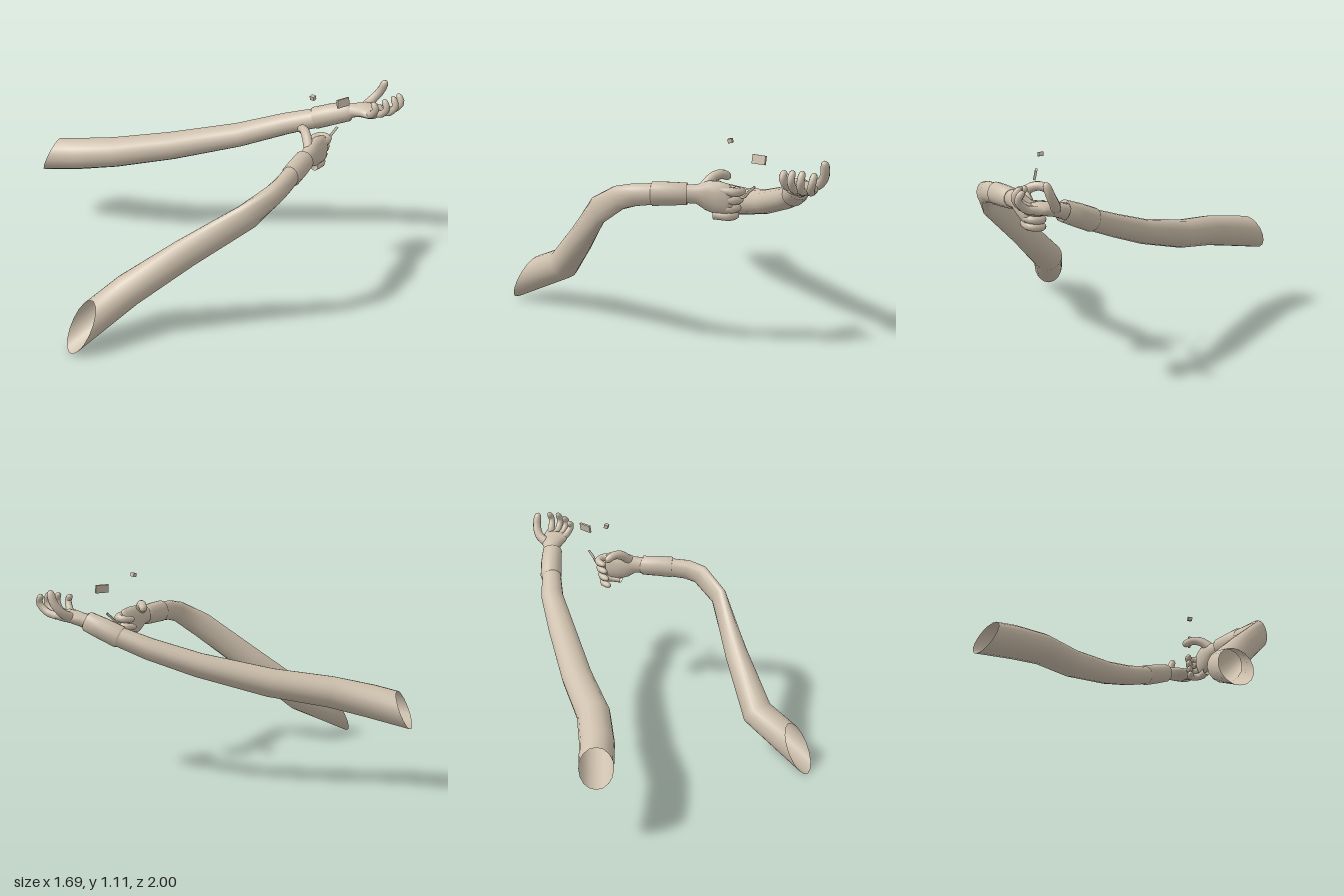
import * as THREE from 'three';

const skin = new THREE.MeshStandardMaterial({ color: 0xcdbfac, side: THREE.DoubleSide });
skin.name = 'warm beige';
const UP = new THREE.Vector3(0, 1, 0);
const SIDE = new THREE.Vector3(0, 0, 1);

// Skin a tube over elliptical sections [x, y, z, sideRadius, upRadius];
// cut slants the first ring so its underside reaches further out.
function loft(name, sections, { sides = 16, ref = UP, cut = 0 } = {}) {
  const centers = sections.map(s => new THREE.Vector3(s[0], s[1], s[2]));
  const pos = [], index = [], last = sections.length - 1;
  sections.forEach((s, i) => {
    const t = centers[Math.min(i + 1, last)].clone().sub(centers[Math.max(i - 1, 0)]).normalize();
    const u = ref.clone().cross(t).normalize();
    const v = t.clone().cross(u);
    for (let j = 0; j < sides; j++) {
      const a = j / sides * Math.PI * 2;
      const p = centers[i].clone()
        .addScaledVector(u, s[3] * Math.cos(a))
        .addScaledVector(v, s[4] * Math.sin(a));
      if (i === 0) p.addScaledVector(t, cut * Math.sin(a));
      pos.push(p.x, p.y, p.z);
      if (i < last) {
        const k = (j + 1) % sides, A = i * sides, B = A + sides;
        index.push(A + j, A + k, B + k, A + j, B + k, B + j);
      }
    }
  });
  const g = new THREE.BufferGeometry();
  g.setAttribute('position', new THREE.Float32BufferAttribute(pos, 3));
  g.setIndex(index);
  g.computeVertexNormals();
  const mesh = new THREE.Mesh(g, skin);
  mesh.name = name;
  return mesh;
}

// Round-ended, slightly tapering digit along a smooth path
function digit(name, path, r, ref) {
  const curve = new THREE.CatmullRomCurve3(path.map(p => new THREE.Vector3(...p)));
  const stops = [0, 0.12, 0.25, 0.37, 0.5, 0.62, 0.75, 0.86, 0.94, 0.98, 1];
  return loft(name, stops.map(k => {
    const p = curve.getPoint(k);
    const d = Math.max(0, (k - 0.86) / 0.14);
    const w = r * (1.08 - 0.22 * k) * Math.max(0.02, Math.sqrt(1 - d * d));
    return [p.x, p.y, p.z, w, w];
  }), { sides: 10, ref });
}

function leftArm() {
  const arm = new THREE.Group();
  arm.name = 'reachingArm';
  arm.add(loft('reachingSleeve', [
    [-0.77, 0.44, 0.34, 0.09, 0.09],
    [-0.62, 0.475, 0.245, 0.092, 0.09],
    [-0.45, 0.515, 0.11, 0.09, 0.085],
    [-0.24, 0.565, -0.14, 0.084, 0.078],
    [0.02, 0.655, -0.42, 0.076, 0.066],
    [0.20, 0.74, -0.615, 0.064, 0.06],
    [0.36, 0.81, -0.735, 0.054, 0.054],
  ], { cut: 0.06 }));
  arm.add(loft('reachingCuff', [
    [0.325, 0.795, -0.71, 0.052, 0.052],
    [0.33, 0.798, -0.715, 0.062, 0.062],
    [0.41, 0.838, -0.77, 0.06, 0.06],
    [0.485, 0.872, -0.815, 0.057, 0.055],
    [0.485, 0.872, -0.816, 0.045, 0.04],
  ]));
  arm.add(loft('openPalm', [
    [0.45, 0.855, -0.795, 0.045, 0.042],
    [0.505, 0.88, -0.835, 0.045, 0.038],
    [0.55, 0.895, -0.862, 0.066, 0.036],
    [0.60, 0.90, -0.88, 0.077, 0.033],
    [0.635, 0.903, -0.892, 0.072, 0.026],
    [0.65, 0.904, -0.897, 0.045, 0.012],
    [0.653, 0.904, -0.898, 0.001, 0.001],
  ]));
  // Four fingers curling upward
  [[-0.935, -0.98, 0], [-0.905, -0.925, 0.012], [-0.87, -0.87, 0], [-0.84, -0.815, -0.028]].forEach(([z, zt, e], i) => {
    arm.add(digit('openFinger' + (i + 1), [
      [0.60, 0.90, z], [0.675 + e, 0.915, (z + zt) / 2],
      [0.713 + e, 0.965, zt], [0.685 + e, 1.01 + e / 2, zt],
    ], 0.02, SIDE));
  });
  arm.add(digit('openThumb', [
    [0.53, 0.89, -0.88], [0.535, 0.925, -0.945], [0.56, 0.98, -0.98], [0.585, 1.047, -0.985],
  ], 0.025, new THREE.Vector3(1, 0, 0)));
  return arm;
}

function rightArm() {
  const arm = new THREE.Group();
  arm.name = 'bentArm';
  arm.add(loft('bentSleeve', [
    [0.385, 0.13, 0.92, 0.086, 0.09],
    [0.415, 0.26, 0.64, 0.088, 0.088],
    [0.59, 0.485, 0.40, 0.062, 0.08],
    [0.785, 0.71, 0.165, 0.035, 0.075],
    [0.817, 0.80, 0.02, 0.043, 0.062],
    [0.80, 0.82, -0.06, 0.045, 0.058],
    [0.75, 0.828, -0.17, 0.045, 0.054],
  ], { cut: 0.125 }));
  arm.add(loft('bentCuff', [
    [0.766, 0.828, -0.14, 0.043, 0.05],
    [0.764, 0.828, -0.145, 0.052, 0.062],
    [0.73, 0.83, -0.22, 0.054, 0.06],
    [0.69, 0.83, -0.30, 0.053, 0.056],
    [0.69, 0.83, -0.301, 0.04, 0.045],
  ]));
  arm.add(loft('grippingPalm', [
    [0.70, 0.83, -0.28, 0.04, 0.046],
    [0.67, 0.83, -0.345, 0.04, 0.05],
    [0.65, 0.825, -0.39, 0.043, 0.075],
    [0.635, 0.815, -0.44, 0.041, 0.085],
    [0.625, 0.81, -0.49, 0.035, 0.08],
    [0.618, 0.81, -0.515, 0.02, 0.06],
    [0.617, 0.81, -0.518, 0.001, 0.001],
  ]));
  // Four fingers curled around a grip
  [0.855, 0.812, 0.768, 0.728].forEach((y, i) => {
    const z = i * 0.012;
    arm.add(digit('grippingFinger' + (i + 1), [
      [0.64, y, -0.46 + z], [0.62, y - 0.005, -0.535 + z],
      [0.565, y - 0.01, -0.54 + z], [0.545, y - 0.015, -0.475 + z],
    ], 0.022, UP));
  });
  arm.add(digit('grippingThumb', [
    [0.65, 0.86, -0.37], [0.60, 0.905, -0.395], [0.55, 0.915, -0.42], [0.50, 0.89, -0.44],
  ], 0.026, UP));
  return arm;
}

function looseParts() {
  const parts = new THREE.Group();
  parts.name = 'looseParts';
  const box = (name, size, at, tilt) => {
    const m = new THREE.Mesh(new THREE.BoxGeometry(...size), skin);
    m.name = name;
    m.position.set(...at);
    m.rotation.set(...tilt);
    parts.add(m);
  };
  box('smallBlock', [0.025, 0.022, 0.022], [0.555, 1.09, -0.47], [0.2, 0.2, 0]);
  box('smallPlate', [0.012, 0.045, 0.075], [0.60, 1.022, -0.65], [0, -0.12, 0.2]);
  // Slim curved lever ahead of the fist
  const path = new THREE.CatmullRomCurve3([
    [0.585, 0.82, -0.52], [0.588, 0.822, -0.565], [0.592, 0.85, -0.59], [0.595, 0.882, -0.625],
  ].map(p => new THREE.Vector3(...p)));
  const lever = new THREE.Mesh(new THREE.TubeGeometry(path, 10, 0.007, 6), skin);
  lever.name = 'curvedLever';
  parts.add(lever);
  return parts;
}

export function createModel() {
  const model = new THREE.Group();
  model.name = 'pairOfArms';
  model.add(leftArm(), rightArm(), looseParts());
  return model;
}
